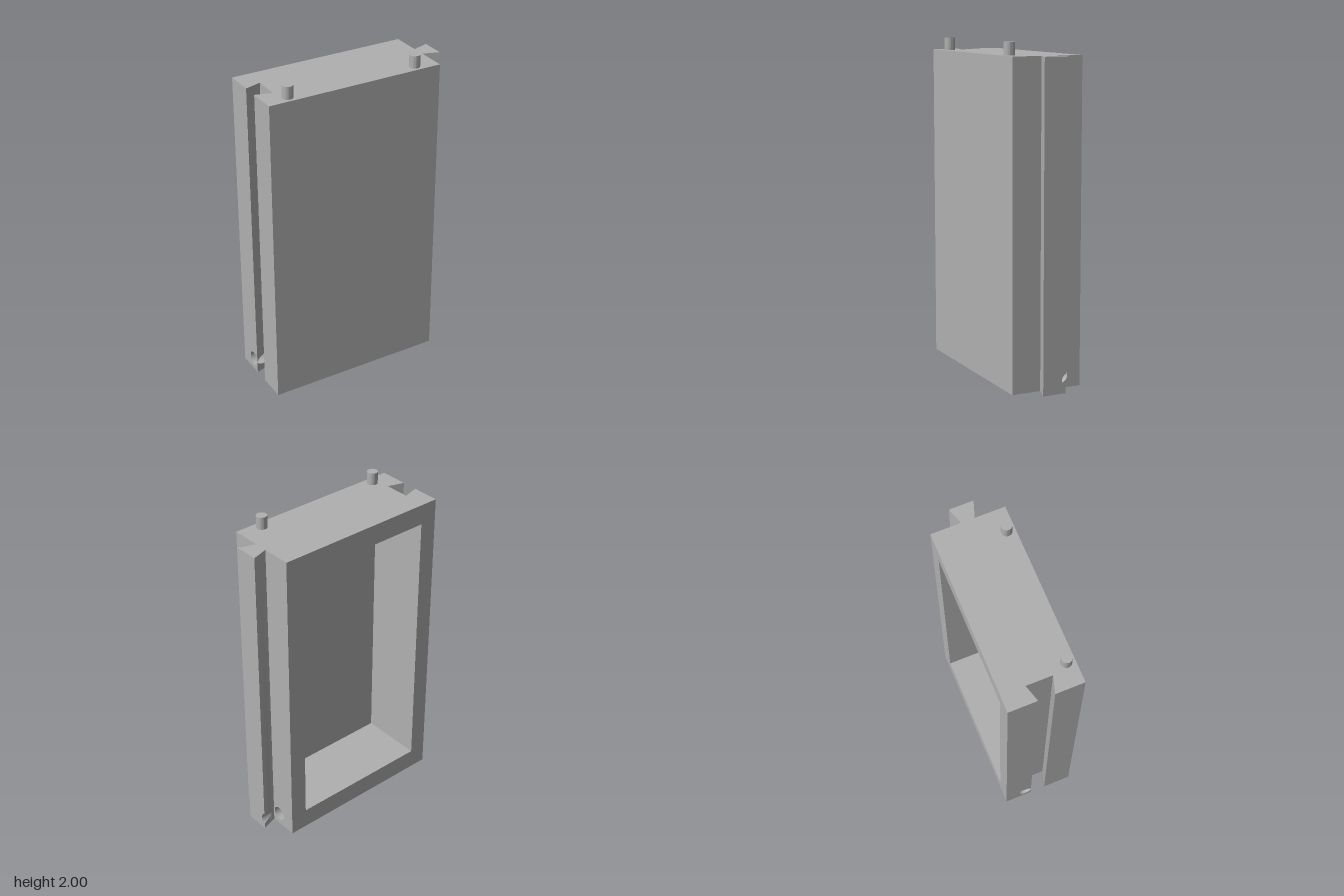
import * as THREE from 'three';
import { toCreasedNormals } from 'three/addons/utils/BufferGeometryUtils.js';

const H = 1.925, D = 0.22, HALF = 0.5, LEFT = -0.6, RIGHT = 0.6;
const FLOOR = 0.125, CEILING = 1.8, PANEL_Z = 0.17;
const CABLE = { y: 0.075, z: -0.093, r: 0.045 };
const PEGS = [-0.46, 0.36], PEG_Z = 0.17;

const polygon = pts => new THREE.Shape(pts.map(p => new THREE.Vector2(...p)));
const rect = (x0, y0, x1, y1) => polygon([[x0, y0], [x1, y0], [x1, y1], [x0, y1]]);
const lerp = THREE.MathUtils.lerp;

function withHole(shape, x, y, r) {
  shape.holes.push(new THREE.Path().absarc(x, y, r, 0, Math.PI * 2, true));
  return shape;
}

function extrude(shape, depth) {
  return new THREE.ExtrudeGeometry(shape, { depth, bevelEnabled: false, curveSegments: 24 });
}
// Shape given in (x, -z), raised along y
const extrudeY = (shape, depth) => extrude(shape, depth).rotateX(-Math.PI / 2);
// Shape given in (-z, y), run along x
const extrudeX = (shape, depth) => extrude(shape, depth).rotateY(Math.PI / 2);

// Skin between (y, z) outlines along x, with a cap at one end
function loftX(x0, x1, steps, outline, capAtEnd) {
  const pos = [];
  const sections = [];
  for (let s = 0; s <= steps; s++) {
    const x = lerp(x0, x1, s / steps);
    sections.push(outline(s / steps).map(([y, z]) => [x, y, z]));
  }
  for (let s = 0; s < steps; s++) {
    const a = sections[s], b = sections[s + 1];
    for (let i = 0; i < a.length; i++) {
      const j = (i + 1) % a.length;
      pos.push(...a[i], ...a[j], ...b[j], ...a[i], ...b[j], ...b[i]);
    }
  }
  const cap = sections[capAtEnd ? steps : 0];
  const faces = THREE.ShapeUtils.triangulateShape(cap.map(p => new THREE.Vector2(p[1], p[2])), []);
  for (const [a, b, c] of faces) {
    pos.push(...cap[a], ...(capAtEnd ? cap[b] : cap[c]), ...(capAtEnd ? cap[c] : cap[b]));
  }
  const g = new THREE.BufferGeometry();
  g.setAttribute('position', new THREE.Float32BufferAttribute(pos, 3));
  g.computeVertexNormals();
  return g;
}

// Part of the cable bore's circle between two angles, measured from +z
function boreArc(t0, t1, n = 24) {
  return Array.from({ length: n + 1 }, (_, i) => {
    const t = lerp(t0, t1, i / n);
    return [CABLE.y + CABLE.r * Math.sin(t), CABLE.z + CABLE.r * Math.cos(t)];
  });
}
// Angle at which the bore meets a wall at depth z
const boreAngle = z => Math.acos(THREE.MathUtils.clamp((z - CABLE.z) / CABLE.r, -1, 1));

export function createModel() {
  const group = new THREE.Group();
  const grey = new THREE.MeshStandardMaterial({ color: 0xb0b0b0 });
  grey.name = 'grey';

  const add = (name, geometry, x = 0, y = 0, z = 0) => {
    const mesh = new THREE.Mesh(toCreasedNormals(geometry, 0.6), grey);
    mesh.name = name;
    mesh.position.set(x, y, z);
    group.add(mesh);
  };

  // Side walls and top of the tray, open at the bottom where the base closes it
  const frame = polygon([
    [-HALF, FLOOR], [-0.493, FLOOR], [-0.493, CEILING], [0.393, CEILING],
    [0.393, FLOOR], [HALF, FLOOR], [HALF, H], [-HALF, H],
  ]);
  add('frame', extrude(frame, PANEL_Z + D), 0, 0, -D);
  add('frontPanel', new THREE.BoxGeometry(1, H - FLOOR, D - PANEL_Z),
    0, (H + FLOOR) / 2, (D + PANEL_Z) / 2);

  // Base: rear rail with the cable bore, front rail with blind peg sockets
  const split = 0.1, socketDepth = 0.08;
  add('rearBaseRail', extrudeX(withHole(rect(-split, 0, D, FLOOR), -CABLE.z, CABLE.y, CABLE.r), 1), -HALF);
  const socketRail = rect(-HALF, -D, HALF, -split);
  PEGS.forEach(x => withHole(socketRail, x, -PEG_Z, 0.034));
  add('socketRail', extrudeY(socketRail, socketDepth));
  add('socketRailTop', new THREE.BoxGeometry(1, FLOOR - socketDepth, D - split),
    0, (FLOOR + socketDepth) / 2, (D + split) / 2);

  // Groove lips; the bore breaks out through the rear one's slanted face
  add('frontGrooveLip', extrudeY(polygon([[LEFT, -D], [-HALF, -D], [-HALF, -0.078], [LEFT, -0.048]]), H));
  add('rearGrooveLip', loftX(LEFT, -HALF, 8, t => {
    const edge = lerp(-0.048, -0.078, t);
    const a = Math.max(boreAngle(edge), 0.02);
    return [[0, -D], [H, -D], [H, edge], ...boreArc(a, Math.PI * 2 - a), [0, edge]];
  }, false));

  // Dovetail tongue, nicked by the bore
  add('tongue', loftX(HALF, RIGHT, 10, t => {
    const edge = lerp(-0.04, -0.073, t);
    const a = boreAngle(edge);
    const nick = boreArc(-a, a).map(([y, z]) => [y, Math.max(z, edge)]);
    return [[0, edge], ...nick, [H, edge], [H, -edge], [0, -edge]];
  }, true));

  // Locating pegs
  PEGS.forEach((x, i) => add(i ? 'leftPeg' : 'rightPeg',
    new THREE.CylinderGeometry(0.032, 0.032, 2 - H, 32), x, (2 + H) / 2, PEG_Z));

  return group;
}
